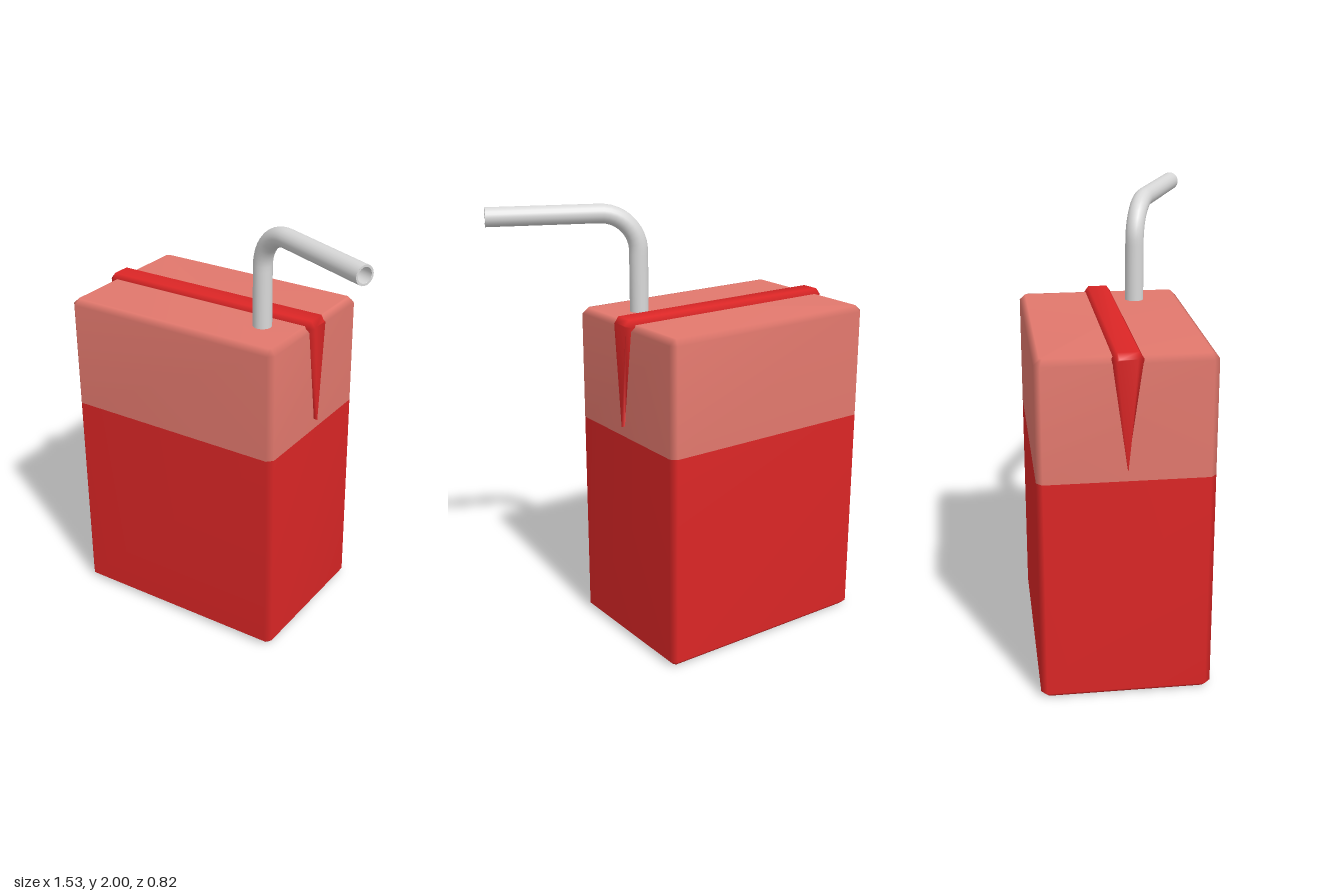
import * as THREE from 'three';

// Skin a row of matching loops, capped at both ends.
// groupOf(i) gives the material index for the band above loop i.
function loft(loops, groupOf = () => 0) {
  const n = loops[0].length, last = loops.length - 1;
  const index = [], geo = new THREE.BufferGeometry();
  const addGroup = (faces, material) => {
    geo.addGroup(index.length, faces.length, material);
    index.push(...faces);
  };
  const startCap = [], endCap = [];
  for (let i = 1; i < n - 1; i++) {
    startCap.push(0, i + 1, i);
    endCap.push(last * n, last * n + i, last * n + i + 1);
  }
  addGroup(startCap, groupOf(0));
  for (let k = 0; k < last; k++) {
    const band = [];
    for (let i = 0; i < n; i++) {
      const a = k * n + i, b = k * n + (i + 1) % n;
      band.push(a, b, b + n, a, b + n, a + n);
    }
    addGroup(band, groupOf(k));
  }
  addGroup(endCap, groupOf(last - 1));
  geo.setAttribute('position', new THREE.Float32BufferAttribute(loops.flat(2), 3));
  geo.setIndex(index);
  geo.computeVertexNormals();
  return geo;
}

export function createModel() {
  const model = new THREE.Group();
  model.name = 'drinkCarton';
  const red = new THREE.MeshStandardMaterial({ name: 'red', color: 0xdc2626 });
  const pink = new THREE.MeshStandardMaterial({ name: 'salmonPink', color: 0xe2786d });
  const grey = new THREE.MeshStandardMaterial({ name: 'strawGrey', color: 0xd8d8d8 });
  const add = (name, geometry, material, parent = model) => {
    const mesh = new THREE.Mesh(geometry, material);
    mesh.name = name;
    parent.add(mesh);
    return mesh;
  };

  // Carton: bevelled box, red below and pink above
  const cx = -0.215, cz = -0.043, bevel = 0.025;
  const boxLoop = (y, inset) => {
    const w = 0.535 - inset, d = 0.368 - inset, c = bevel - inset * 0.6;
    return [[w, d - c], [w, c - d], [w - c, -d], [c - w, -d],
      [-w, c - d], [-w, d - c], [c - w, d], [w - c, d]]
      .map(([x, z]) => [cx + x, y, cz + z]);
  };
  const cartonLoops = [[0, bevel], [bevel, 0], [1, 0], [1.52 - bevel, 0], [1.52, bevel]]
    .map(([y, inset]) => boxLoop(y, inset));
  add('carton', loft(cartonLoops, k => (k < 2 ? 0 : 1)), [red, pink]);

  // Folded seam: a wedge over the top that tapers down both ends
  const seamLoop = (x, topHalf, half, top) =>
    [[topHalf, top], [half, 1.512], [0, 1.05], [-half, 1.512], [-topHalf, top]]
      .map(([z, y]) => [cx + x, y, cz + z]);
  add('foldedSeam', loft([
    seamLoop(-0.555, 0.036, 0.045, 1.518),
    seamLoop(-0.533, 0.043, 0.064, 1.542),
    seamLoop(0.533, 0.043, 0.064, 1.542),
    seamLoop(0.553, 0.036, 0.045, 1.518),
  ]), red);

  // Bent hollow straw
  const straw = new THREE.Group();
  straw.name = 'straw';
  model.add(straw);
  const V = (x, y, z) => new THREE.Vector3(x, y, z);
  const base = V(0.138, 1.48, 0.107), tip = V(0.745, 1.96, 0.37);
  const dir = V(tip.x - base.x, 0, tip.z - base.z).normalize();
  const elbow = V(base.x, tip.y, base.z);
  const bendStart = elbow.clone().add(V(0, -0.17, 0));
  const bendEnd = elbow.clone().addScaledVector(dir, 0.17);
  const path = new THREE.CurvePath();
  path.add(new THREE.LineCurve3(base, bendStart));
  path.add(new THREE.CubicBezierCurve3(bendStart,
    bendStart.clone().lerp(elbow, 0.55), bendEnd.clone().lerp(elbow, 0.55), bendEnd));
  path.add(new THREE.LineCurve3(bendEnd, tip));

  const outer = 0.042, inner = 0.033;
  add('strawOutside', new THREE.TubeGeometry(path, 40, outer, 20), grey, straw);

  // Inside wall, turned to face inward
  const inside = new THREE.TubeGeometry(path, 40, inner, 20);
  inside.index.array.reverse();
  const normals = inside.attributes.normal.array;
  for (let i = 0; i < normals.length; i++) normals[i] *= -1;
  add('strawInside', inside, grey, straw);

  const rim = add('strawRim', new THREE.RingGeometry(inner, outer, 20), grey, straw);
  rim.position.copy(tip);
  rim.lookAt(tip.clone().add(dir));

  return model;
}
